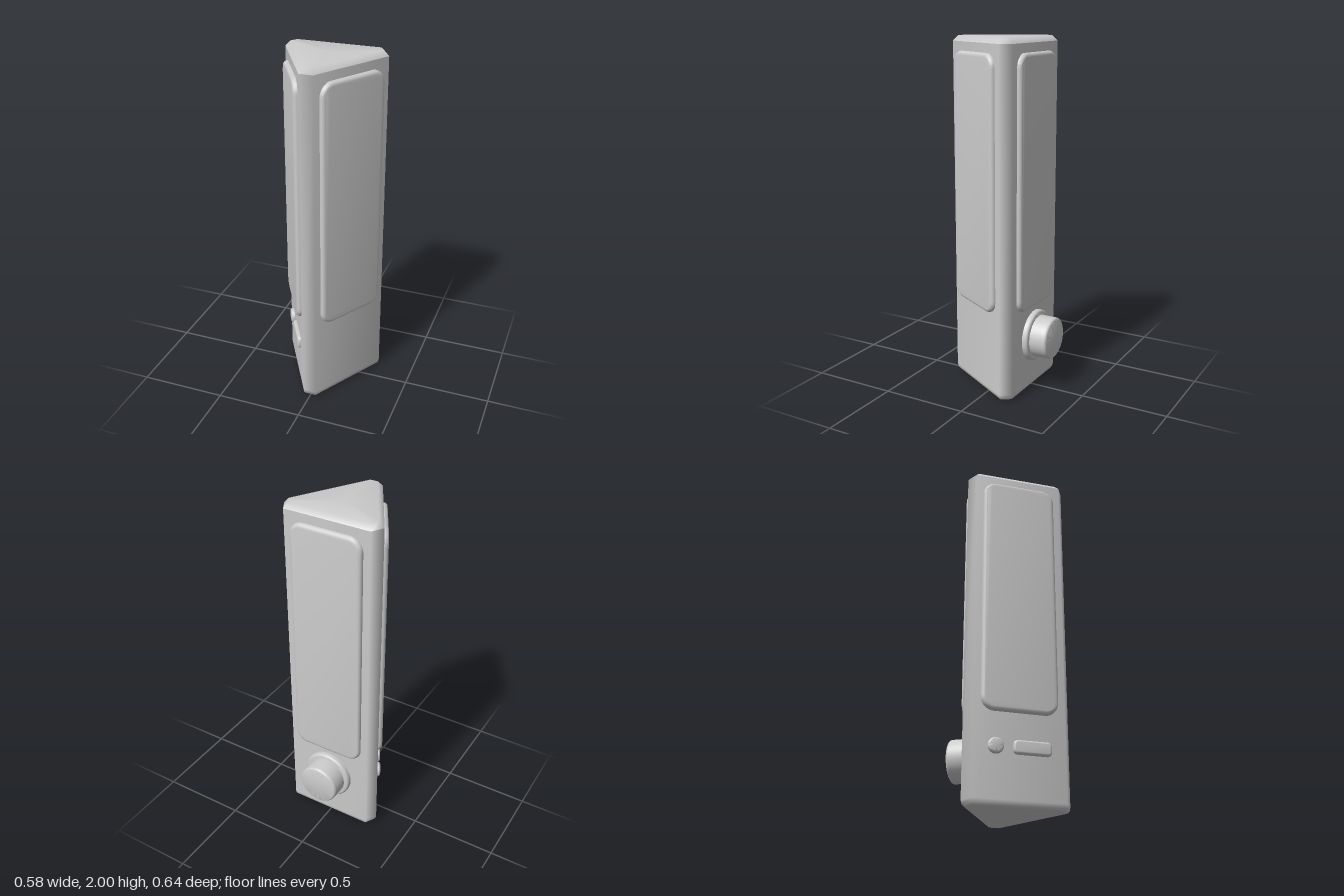
import * as THREE from 'three';
import { toCreasedNormals } from 'three/addons/utils/BufferGeometryUtils.js';

const APOTHEM = 0.19;  // centre to each of the three main faces
const CORNER = 0.314;  // centre to each cut corner
const CENTRE_Z = 0.004;
const material = new THREE.MeshStandardMaterial({ color: 0xcccccc });

function addMesh(parent, name, geometry, x = 0, y = 0, z = 0) {
  const mesh = new THREE.Mesh(geometry, material);
  mesh.name = name;
  mesh.position.set(x, y, z);
  parent.add(mesh);
  return mesh;
}

// Triangular cross-section with cut corners, inset evenly on all sides
function section(inset) {
  const a = APOTHEM - inset, b = CORNER - inset;
  const half = (a - b / 2) / Math.cos(Math.PI / 6);
  const points = [];
  for (let k = 0; k < 3; k++) {
    const t = k * Math.PI * 2 / 3, s = Math.sin(t), c = Math.cos(t);
    for (const x of [-half, half]) points.push([x * c + b * s, b * c - x * s]);
  }
  return points;
}

// Prism lofted through [inset, y] levels; a repeated level makes a sharp edge
function bodyGeometry(levels) {
  const positions = [], index = [], n = 6;
  for (const [inset, y] of levels)
    for (const [x, z] of section(inset)) positions.push(x, y, z);
  const bottom = levels.length * n, top = bottom + 1;
  positions.push(0, levels[0][1], 0, 0, levels[levels.length - 1][1], 0);
  for (let k = 0; k < n; k++) {
    const next = (k + 1) % n;
    for (let l = 0; l < levels.length - 1; l++) {
      if (levels[l][1] === levels[l + 1][1]) continue;
      const a = l * n + k, b = l * n + next;
      index.push(a, b, b + n, a, b + n, a + n);
    }
    const last = (levels.length - 1) * n;
    index.push(bottom, next, k, top, last + k, last + next);
  }
  const geometry = new THREE.BufferGeometry();
  geometry.setAttribute('position', new THREE.Float32BufferAttribute(positions, 3));
  geometry.setIndex(index);
  geometry.computeVertexNormals();
  return geometry;
}

// Rounded plate standing proud of the z = 0 plane by `height`
function plateGeometry(width, tall, radius, height, bevel) {
  const w = width / 2 - radius, h = tall / 2 - radius, q = Math.PI / 2;
  const shape = new THREE.Shape();
  [[w, h], [-w, h], [-w, -h], [w, -h]].forEach(([x, y], i) =>
    shape.absarc(x, y, radius, i * q, (i + 1) * q, false));
  const geometry = new THREE.ExtrudeGeometry(shape, {
    depth: height, bevelSize: bevel, bevelThickness: bevel, bevelOffset: -bevel,
    bevelSegments: 4, curveSegments: 8,
  });
  geometry.translate(0, 0, -bevel);
  return toCreasedNormals(geometry, 0.7);
}

// Turned part pointing along +z, with a rounded outer rim
function turnedGeometry(radius, height, fillet) {
  const points = [new THREE.Vector2(radius, -0.01)];
  for (let i = 0; i <= 4; i++) {
    const t = i / 4 * Math.PI / 2;
    points.push(new THREE.Vector2(
      radius - fillet + fillet * Math.cos(t), height - fillet + fillet * Math.sin(t)));
  }
  points.push(new THREE.Vector2(0, height));
  const geometry = new THREE.LatheGeometry(points, 48);
  geometry.rotateX(Math.PI / 2);
  return toCreasedNormals(geometry, 0.7);
}

export function createModel() {
  const model = new THREE.Group();
  model.name = 'triangularDevice';

  // Body: rounded foot, straight walls, chamfered top
  addMesh(model, 'body', bodyGeometry([
    [0.026, 0], [0.012, 0.005], [0.004, 0.016], [0, 0.035],
    [0, 1.97], [0, 1.97], [0.026, 2],
  ]), 0, 0, CENTRE_Z);

  // One raised panel on every face
  const faces = {};
  for (const [name, angle] of [['leftFace', 60], ['rightFace', -60], ['backFace', 180]]) {
    const face = new THREE.Group();
    face.name = name;
    face.position.z = CENTRE_Z;
    face.rotation.y = THREE.MathUtils.degToRad(angle);
    addMesh(face, 'panel', plateGeometry(0.426, 1.42, 0.075, 0.025, 0.02), 0, 1.21, APOTHEM - 0.0002);
    model.add(face);
    faces[name] = face;
  }

  // Buttons on the right face
  addMesh(faces.rightFace, 'roundButton', turnedGeometry(0.043, 0.02, 0.012), -0.13, 0.312, APOTHEM);
  addMesh(faces.rightFace, 'wideButton', plateGeometry(0.208, 0.076, 0.024, 0.02, 0.012), 0.068, 0.312, APOTHEM);

  // Knob and its collar on the back face
  addMesh(faces.backFace, 'knobCollar', turnedGeometry(0.148, 0.032, 0.015), 0, 0.313, APOTHEM);
  addMesh(faces.backFace, 'knob', turnedGeometry(0.12, 0.134, 0.016), 0, 0.313, APOTHEM);

  return model;
}
